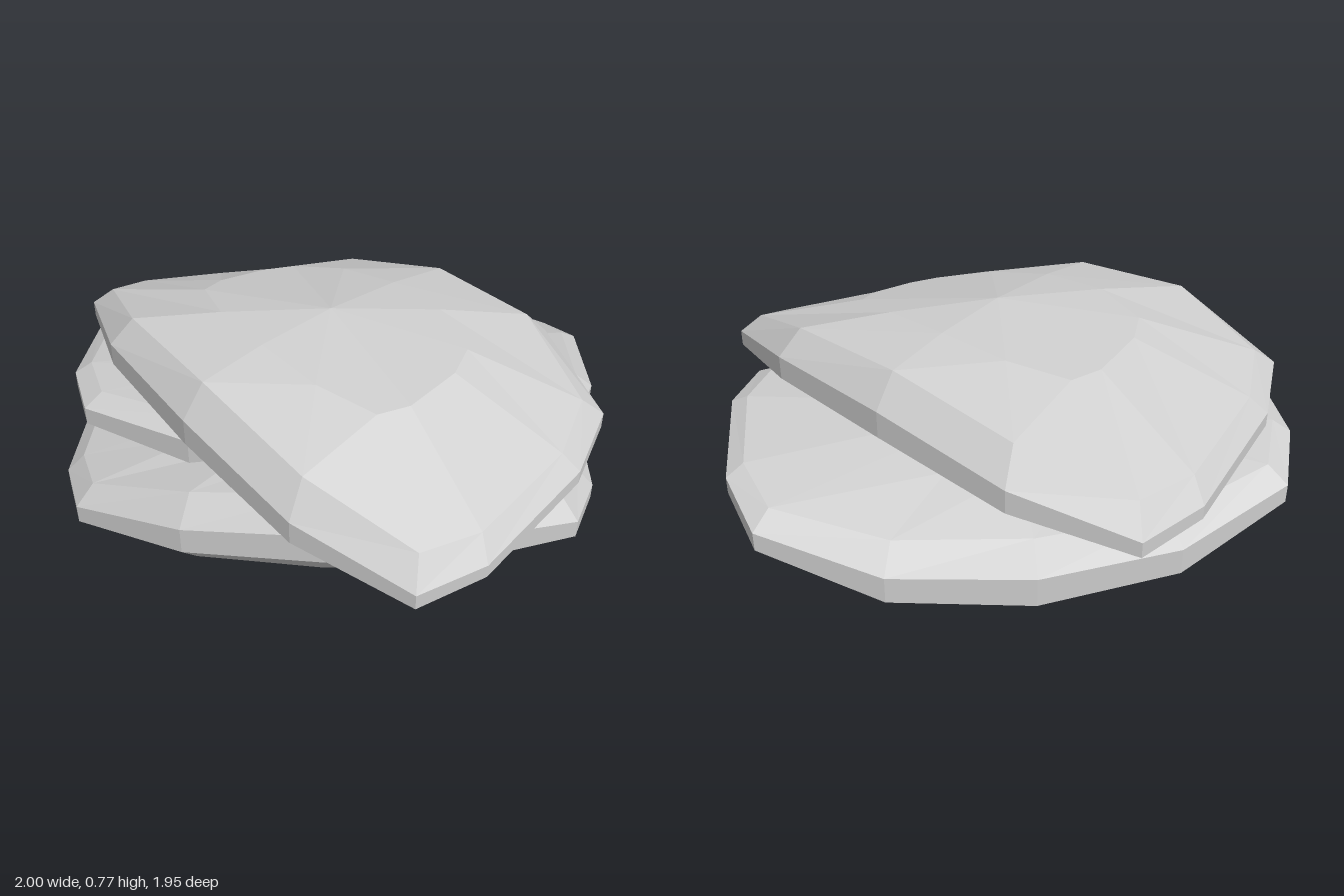
import * as THREE from 'three';

// Shared slab outline, one quarter; mirrored into a 14-sided plan
const quarter = [[1, 0.22], [0.91, 0.45], [0.5, 0.62], [0, 0.66]];
const half = [...quarter, ...quarter.slice(0, 3).reverse().map(([x, z]) => [-x, z])];
const outline = [...half, ...half.map(([x, z]) => [-x, -z])];

// Plan scale of each ring, from the underside centre over the rim to the crown
const rings = [
  { sx: 0, sz: 0, part: 'under' },
  { sx: 0.5, sz: 0.5, part: 'under' },
  { sx: 0.93, sz: 0.86, part: 'under' },
  { sx: 1, sz: 1, part: 'rimLow' },
  { sx: 1, sz: 1, part: 'rimHigh' },
  { sx: 0.94, sz: 0.865, part: 'top' },
  { sx: 0.52, sz: 0.48, part: 'top' },
  { sx: 0, sz: 0, part: 'top' },
];

// A faceted slab: drape(x, z) gives the mid-rim height, curl(x, z) pulls points
// along z, and the rim thins toward the long ends
function makeSlab(name, { turn = 0, depth = 1, z0 = 0, curl = () => 0, drape, thick, lift, under }) {
  const c = Math.cos(turn), s = Math.sin(turn);
  const place = (x, z) => {
    const wx = x * c - z * depth * s, wz = x * s + z * depth * c + z0;
    return [wx, wz + curl(wx, wz)];
  };
  const grid = rings.map(({ sx, sz, part }) => outline.map(([ox, oz]) => {
    const x = ox * sx, z = oz * sz;
    const [wx, wz] = place(x, z);
    const mid = drape(wx, wz);
    const h = (thick[0] - thick[1] * x * x) / 2;
    let y;
    if (part === 'rimLow') y = mid - h;
    else if (part === 'rimHigh') y = mid + h;
    else if (part === 'top') y = mid + h + lift[0] - lift[1] * x * x;
    else y = under(wx, mid - h, place(ox, oz), sx);
    return [wx, y, wz];
  }));

  // Join neighbouring rings; the first and last close to a point
  const positions = [];
  const n = outline.length;
  for (let j = 0; j < rings.length - 1; j++) {
    for (let i = 0; i < n; i++) {
      const k = (i + 1) % n;
      const a = grid[j][i], b = grid[j][k], d = grid[j + 1][k], e = grid[j + 1][i];
      if (j > 0) positions.push(...a, ...e, ...b);
      if (j < rings.length - 2) positions.push(...e, ...d, ...b);
    }
  }
  const geometry = new THREE.BufferGeometry();
  geometry.setAttribute('position', new THREE.Float32BufferAttribute(positions, 3));
  geometry.computeVertexNormals();
  const mesh = new THREE.Mesh(geometry, new THREE.MeshStandardMaterial({ color: 0xcccccc, flatShading: true }));
  mesh.name = name;
  return mesh;
}

// The middle slab sags over the back edge of the one below
function middleDrape(x, z) {
  const t = Math.max(0, -z / 0.87);
  return 0.365 + 0.045 * x * x - 0.27 * t * t * (1 - 0.35 * x * x);
}

// Its sagging back edge tucks forward
function middleCurl(x, z) {
  const t = Math.max(0, -z / 0.91);
  return 0.04 * t * t * (1 - x * x);
}

// The top slab arches front to back and swells toward the middle of its length
function topDrape(x, z) {
  const along = (x + z) * Math.SQRT1_2;
  return 0.565 - 0.3 * z * z - 0.018 * z - 0.012 * x + 0.06 * (1 - along * along);
}

export function createModel() {
  const group = new THREE.Group();
  group.name = 'stackedSlabs';

  // Bottom slab: flat base, gently domed top
  group.add(makeSlab('bottomSlab', {
    z0: 0.02,
    drape: (x) => 0.21 - 0.07 * x * x,
    thick: [0.12, 0.06],
    lift: [0.12, 0.09],
    under: (x) => 0.035 + 0.02 * x * x,
  }));

  // Middle slab: set back, drooping at the rear
  group.add(makeSlab('middleSlab', {
    z0: -0.25,
    curl: middleCurl,
    drape: middleDrape,
    thick: [0.11, 0.05],
    lift: [0.06, 0.03],
    under: (x, low, [ox, oz], sx) =>
      (sx > 0.9 ? middleDrape(ox, oz) - 0.095 + 0.025 * x * x : low - 0.03),
  }));

  // Top slab: turned diagonally, thin rim with a deep bevel below
  group.add(makeSlab('topSlab', {
    turn: Math.PI / 4,
    depth: 1.035,
    drape: topDrape,
    thick: [0.1, 0.05],
    lift: [0.1, 0.065],
    under: (x, low) => low - 0.07,
  }));

  return group;
}
